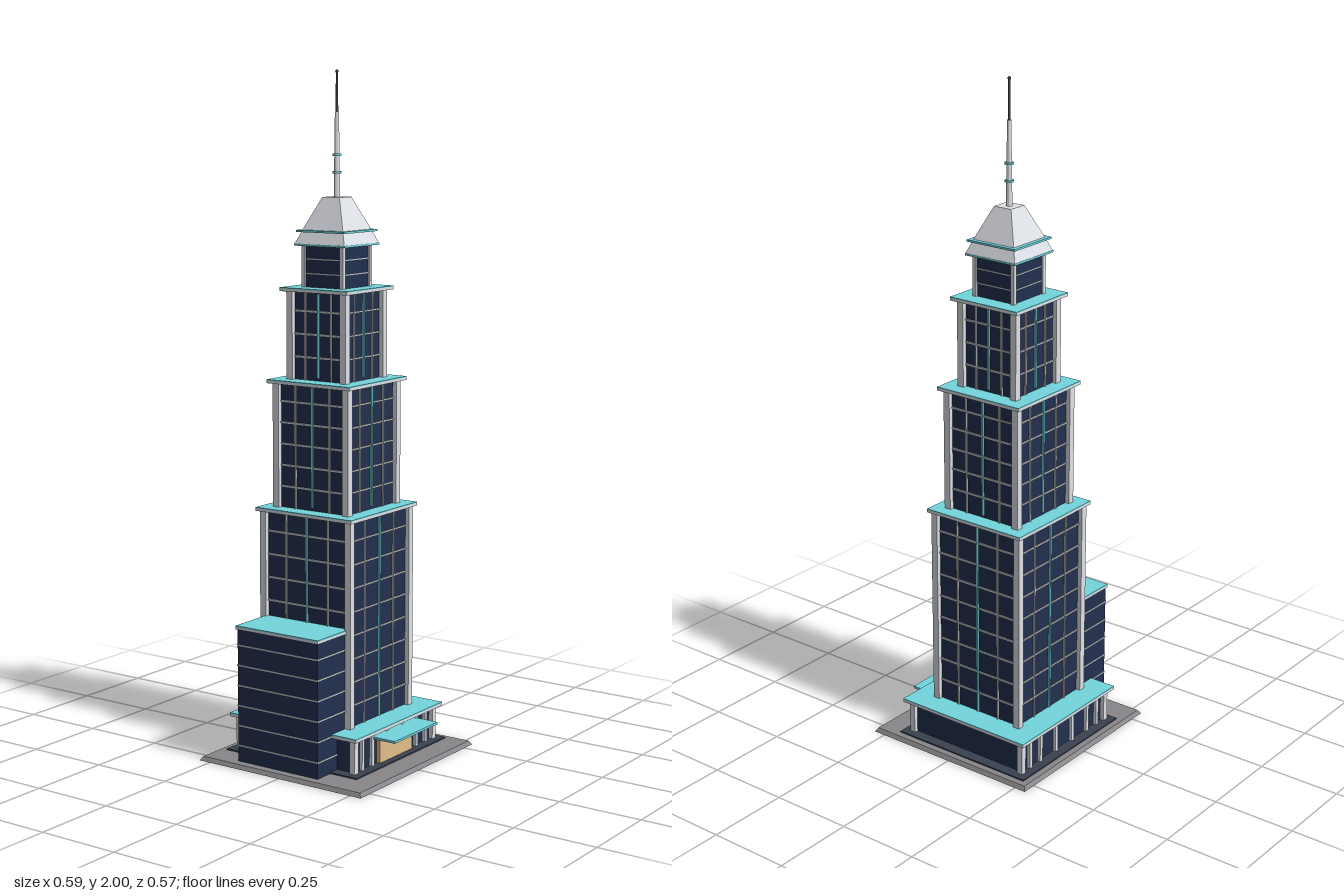
import * as THREE from 'three';

const mat = (color) => new THREE.MeshStandardMaterial({ color, flatShading: true });

export function createModel() {
  const model = new THREE.Group();
  model.name = 'skyscraper';
  const glass = mat(0x22304f), light = mat(0xdfe2e8), trim = mat(0xc6c8c4);
  const cyan = mat(0x74d5de), paving = mat(0x88868a), warm = mat(0xe3be8a), dark = mat(0x3a4250);

  // Everything but the base and wing shares the tower axis
  const tower = new THREE.Group();
  tower.name = 'tower';
  tower.position.set(0.031, 0, -0.026);
  model.add(tower);

  const add = (parent, name, geo, material, x, y, z) => {
    const m = new THREE.Mesh(geo, material);
    m.name = name;
    m.position.set(x, y, z);
    parent.add(m);
    return m;
  };
  // Box given by its centre in x and z and by its bottom and top in y
  const box = (parent, name, material, w, d, y0, y1, x = 0, z = 0) =>
    add(parent, name, new THREE.BoxGeometry(w, y1 - y0, d), material, x, (y0 + y1) / 2, z);
  // Square frustum given by half widths
  const frustum = (parent, name, material, bottom, top, y0, y1) => {
    const geo = new THREE.CylinderGeometry(top * Math.SQRT2, bottom * Math.SQRT2, y1 - y0, 4);
    geo.rotateY(Math.PI / 4);
    return add(parent, name, geo, material, 0, (y0 + y1) / 2, 0);
  };
  const cap = (parent, half, y) => {
    box(parent, 'cornice', light, half * 2, half * 2, y - 0.011, y - 0.003);
    box(parent, 'roof', cyan, half * 2, half * 2, y - 0.003, y);
  };

  // Base slab with bevelled rim
  const base = frustum(model, 'baseSlab', paving, 0.295, 0.287, 0, 0.012);
  base.position.x = -0.002;
  base.scale.z = 0.972;
  box(tower, 'plinth', dark, 0.468, 0.468, 0.001, 0.016);

  // Podium with columns on front and back
  box(tower, 'podium', glass, 0.4, 0.4, 0.012, 0.118);
  for (const s of [-1, 1]) {
    for (const x of [-0.165, -0.115, -0.04, 0.04, 0.115, 0.165])
      box(tower, 'podiumColumn', light, 0.012, 0.014, 0.012, 0.115, x, s * 0.203);
    for (const t of [-1, 1])
      box(tower, 'podiumCornerColumn', light, 0.018, 0.018, 0.012, 0.115, s * 0.204, t * 0.204);
  }
  cap(tower, 0.227, 0.126);

  // Entrance and canopy
  box(tower, 'entrance', warm, 0.17, 0.014, 0.016, 0.1, 0, 0.206);
  box(tower, 'canopy', cyan, 0.226, 0.09, 0.095, 0.102, 0, 0.238);

  // Side wing
  const wing = new THREE.Group();
  wing.name = 'sideWing';
  wing.position.set(-0.19, 0, -0.026);
  model.add(wing);
  box(wing, 'wingBody', glass, 0.148, 0.284, 0.01, 0.407);
  for (let i = 1; i <= 6; i++) {
    const y = i * 0.06;
    box(wing, 'wingFloorBand', trim, 0.151, 0.287, y - 0.002, y + 0.002);
  }
  box(wing, 'wingCornice', light, 0.156, 0.292, 0.407, 0.414);
  box(wing, 'wingRoof', cyan, 0.156, 0.292, 0.414, 0.418);

  // Stepped tiers: body half width, cap half width, bottom, top, floors
  const tiers = [
    [0.148, 0.17, 0.12, 0.742, 9],
    [0.12, 0.146, 0.742, 1.117, 6],
    [0.091, 0.118, 1.117, 1.383, 4],
  ];
  for (const [h, c, y0, y1, floors] of tiers) {
    const tier = new THREE.Group();
    tier.name = 'tier';
    tower.add(tier);
    box(tier, 'glassBody', glass, h * 2, h * 2, y0, y1 - 0.008);
    for (let i = 1; i < floors; i++) {
      const y = y0 + (y1 - y0) * i / floors;
      box(tier, 'floorBand', trim, h * 2 + 0.006, h * 2 + 0.006, y - 0.0025, y + 0.0025);
    }
    // Four matching faces: mullions, central light strip and corner pillar
    for (let k = 0; k < 4; k++) {
      const face = new THREE.Group();
      face.name = 'face';
      face.rotation.y = k * Math.PI / 2;
      tier.add(face);
      for (const s of [-1, 1])
        box(face, 'mullion', trim, 0.005, 0.008, y0, y1 - 0.01, s * h * 0.5, h + 0.001);
      box(face, 'lightStrip', cyan, 0.006, 0.01, y0 + 0.008, y1 - 0.015, 0, h + 0.001);
      box(face, 'cornerPillar', light, 0.021, 0.021, y0, y1 - 0.01, h + 0.003, h + 0.003);
    }
    cap(tier, c, y1);
  }

  // Top storey
  box(tower, 'topStorey', glass, 0.134, 0.134, 1.38, 1.505);
  for (const y of [1.422, 1.464])
    box(tower, 'topFloorBand', trim, 0.137, 0.137, y - 0.0015, y + 0.0015);
  for (const sx of [-1, 1]) for (const sz of [-1, 1])
    box(tower, 'topCornerPillar', light, 0.012, 0.012, 1.38, 1.5, sx * 0.067, sz * 0.067);

  // Crown
  box(tower, 'crownLedge', cyan, 0.176, 0.176, 1.502, 1.508);
  frustum(tower, 'crownSkirt', light, 0.087, 0.073, 1.508, 1.541);
  box(tower, 'crownRoof', cyan, 0.168, 0.168, 1.541, 1.547);
  frustum(tower, 'crown', light, 0.071, 0.03, 1.547, 1.64);

  // Spire
  const rod = (name, material, r0, r1, y0, y1) =>
    add(tower, name, new THREE.CylinderGeometry(r1, r0, y1 - y0, 12), material, 0, (y0 + y1) / 2, 0);
  rod('mast', light, 0.009, 0.006, 1.64, 1.88);
  rod('needle', dark, 0.004, 0.003, 1.88, 1.996);
  for (const y of [1.71, 1.76]) rod('mastRing', cyan, 0.013, 0.013, y - 0.003, y + 0.003);
  add(tower, 'beacon', new THREE.SphereGeometry(0.005, 10, 8), dark, 0, 1.995, 0);

  return model;
}
